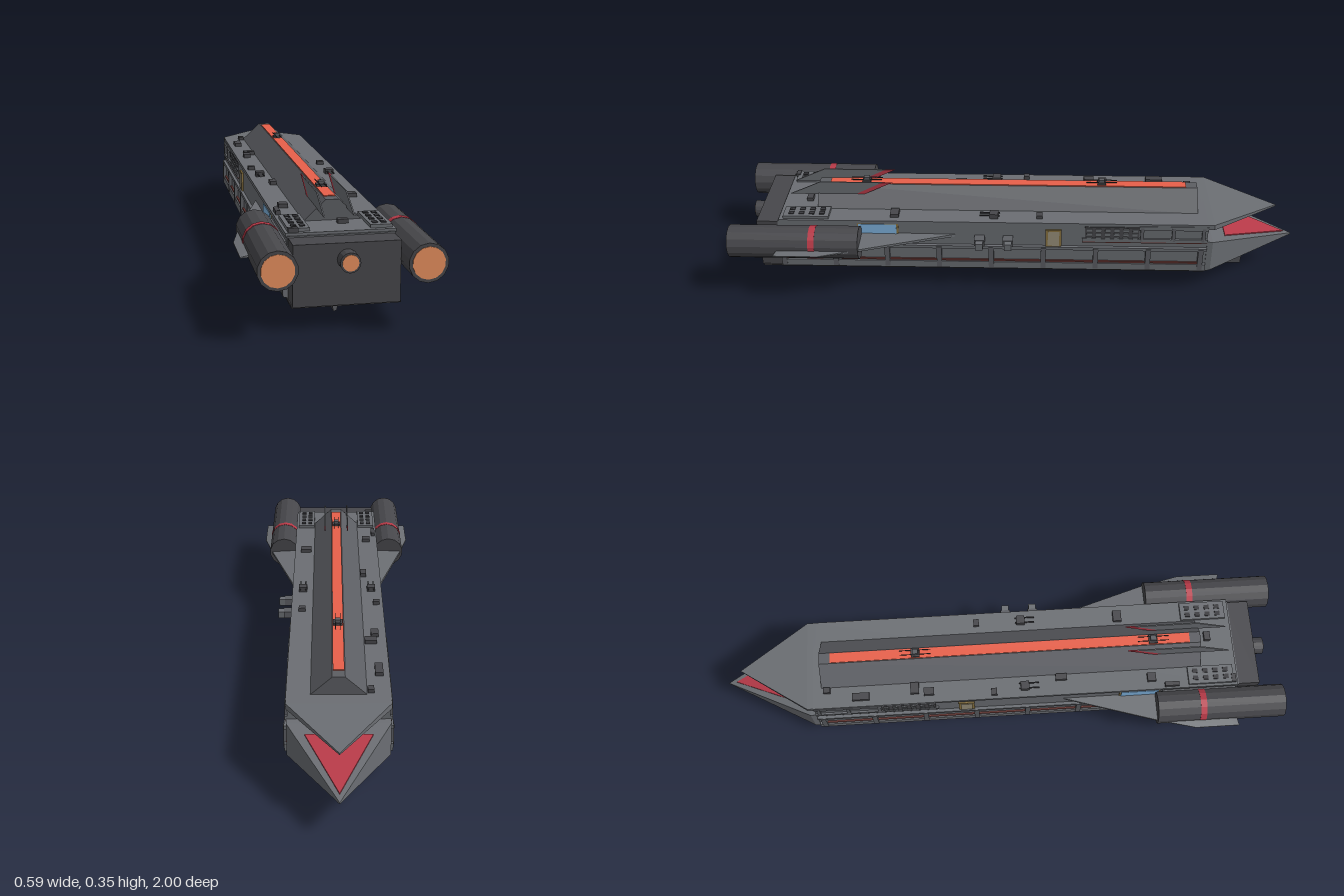
import * as THREE from 'three';
import { ConvexGeometry } from 'three/addons/geometries/ConvexGeometry.js';

const mat = (color) => new THREE.MeshStandardMaterial({ color, flatShading: true });
const HULL = mat(0x6b6e73), MID = mat(0x5c5e63), DARK = mat(0x47474b), BLACK = mat(0x38383c);
const RED = mat(0xb83a48), RUST = mat(0x6e3a36), STRIP = mat(0xe8604a), GLOW = mat(0xe8905f);
const GLASS = mat(0x7fb4e0), BEIGE = mat(0x9a927c), BRASS = mat(0x8a7340);

export function createModel() {
  const ship = new THREE.Group();
  ship.name = 'spaceship';

  const add = (name, geometry, material, parent = ship) => {
    const mesh = new THREE.Mesh(geometry, material);
    mesh.name = name;
    parent.add(mesh);
    return mesh;
  };
  // Box given by its lower and upper limits on each axis
  const box = (name, [x0, x1], [y0, y1], [z0, z1], material, parent) => {
    const g = new THREE.BoxGeometry(x1 - x0, y1 - y0, z1 - z0);
    g.translate((x0 + x1) / 2, (y0 + y1) / 2, (z0 + z1) / 2);
    return add(name, g, material, parent);
  };
  const solid = (name, pts, material, parent) =>
    add(name, new ConvexGeometry(pts.map((p) => new THREE.Vector3(...p))), material, parent);
  // Straight prism along z from an x/y outline
  const prism = (name, outline, z0, z1, material, parent) =>
    solid(name, outline.flatMap(([x, y]) => [[x, y, z0], [x, y, z1]]), material, parent);
  const drum = (name, r, x, y, z0, z1, sides, material, parent) => {
    const g = new THREE.CylinderGeometry(r, r, z1 - z0, sides);
    g.rotateX(Math.PI / 2);
    g.translate(x, y, (z0 + z1) / 2);
    return add(name, g, material, parent);
  };

  // Main body
  box('hull', [-0.16, 0.16], [0.074, 0.262], [-0.67, 0.84], HULL);
  box('underside', [-0.16, 0.16], [0.07, 0.076], [-0.67, 0.91], DARK);
  box('sternBlock', [-0.157, 0.157], [0.074, 0.258], [0.83, 0.915], DARK);
  box('topDeck', [-0.164, 0.164], [0.258, 0.27], [-0.67, 0.835], HULL);

  // Raised spine with glowing strip
  prism('spine', [[-0.09, 0.268], [0.09, 0.268], [0.02, 0.333], [-0.02, 0.333]], -0.64, 0.71, MID);
  box('spineStrip', [-0.018, 0.018], [0.33, 0.336], [-0.6, 0.67], STRIP);
  for (const z of [-0.3, 0.54]) {
    box('spineClamp', [-0.016, 0.016], [0.33, 0.343], [z - 0.015, z + 0.015], DARK);
    box('spineSensor', [-0.009, 0.009], [0.34, 0.353], [z - 0.01, z + 0.01], MID);
    for (const x of [-0.008, 0.008])
      box('antenna', [x - 0.001, x + 0.001], [0.343, 0.346], [z - 0.055, z + 0.055], BLACK);
  }

  // Split prow
  solid('upperProw', [[-0.163, 0.27, -0.66], [0.163, 0.27, -0.66], [-0.163, 0.27, -0.69], [0.163, 0.27, -0.69],
    [-0.163, 0.25, -0.66], [0.163, 0.25, -0.66], [-0.163, 0.25, -0.69], [0.163, 0.25, -0.69],
    [0, 0.256, -0.93], [0, 0.25, -0.93]], HULL);
  solid('lowerProw', [[-0.163, 0.2, -0.67], [0.163, 0.2, -0.67], [-0.163, 0.074, -0.67], [0.163, 0.074, -0.67],
    [-0.163, 0.198, -0.69], [0.163, 0.198, -0.69], [-0.163, 0.08, -0.69], [0.163, 0.08, -0.69],
    [0, 0.135, -1], [0, 0.13, -1]], HULL);
  const prowY = (z) => 0.135 + (z + 1) * 0.2035;
  solid('prowInlay', [0, 0.004].flatMap((d) => [[0, prowY(-0.97) + d, -0.97],
    [-0.105, prowY(-0.74) + d, -0.74], [0.105, prowY(-0.74) + d, -0.74]]), RED);

  // Keel
  prism('keel', [[-0.02, 0.074], [0.02, 0.074], [0.005, 0], [-0.005, 0]], -0.83, 0.76, MID);

  // Stern engine
  drum('sternEngine', 0.03, 0, 0.21, 0.9, 0.955, 16, DARK);
  drum('sternEngineGlow', 0.024, 0, 0.21, 0.95, 0.957, 16, GLOW);

  // Parts found on both flanks
  for (const s of [-1, 1]) {
    const side = new THREE.Group();
    side.name = s > 0 ? 'leftSide' : 'rightSide';
    ship.add(side);
    const X = (a, b) => (s > 0 ? [a, b] : [-b, -a]);
    const sbox = (name, a, b, y, z, m) => box(name, X(a, b), y, z, m, side);

    // Lower belt with ribs
    sbox('beltUpperRail', 0.155, 0.171, [0.162, 0.174], [-0.67, 0.84], HULL);
    sbox('beltLowerRail', 0.155, 0.171, [0.08, 0.107], [-0.67, 0.84], HULL);
    sbox('beltStripe', 0.155, 0.166, [0.107, 0.113], [-0.66, 0.83], RUST);
    for (let i = 0; i < 9; i++) {
      const z = 0.83 - i * 0.185;
      sbox('beltRib', 0.155, 0.173, [0.085, 0.17], [z - 0.009, z + 0.009], MID);
    }

    // Forward side gallery
    sbox('galleryRail', 0.155, 0.166, [0.246, 0.262], [-0.67, -0.43], HULL);
    sbox('gallerySill', 0.155, 0.167, [0.197, 0.21], [-0.67, -0.23], HULL);
    sbox('galleryStripe', 0.155, 0.165, [0.192, 0.197], [-0.67, -0.23], RUST);
    for (const z of [-0.44, -0.55, -0.655])
      sbox('galleryPost', 0.155, 0.167, [0.2, 0.255], [z - 0.006, z + 0.006], MID);
    sbox('grille', 0.155, 0.164, [0.2, 0.256], [-0.43, -0.24], DARK);
    for (let i = 0; i < 6; i++) for (let j = 0; j < 3; j++) {
      const z = -0.415 + i * 0.032, y = 0.211 + j * 0.017;
      sbox('grilleCell', 0.16, 0.168, [y - 0.005, y + 0.005], [z - 0.009, z + 0.009], HULL);
    }

    // Hatch and side window
    sbox('hatchFrame', 0.155, 0.166, [0.172, 0.242], [-0.158, -0.102], BRASS);
    sbox('hatch', 0.155, 0.168, [0.178, 0.236], [-0.15, -0.11], BEIGE);
    sbox('windowFrame', 0.155, 0.163, [0.166, 0.262], [0.415, 0.56], BRASS);
    sbox('window', 0.155, 0.165, [0.172, 0.256], [0.422, 0.555], GLASS);
    sbox('windowBar', 0.155, 0.167, [0.211, 0.217], [0.42, 0.56], DARK);

    // Delta wing
    solid('wing', [[s * 0.155, 0.216, 0.2], [s * 0.155, 0.206, 0.2], [s * 0.155, 0.222, 0.8], [s * 0.155, 0.2, 0.8],
      [s * 0.26, 0.214, 0.54], [s * 0.26, 0.206, 0.54], [s * 0.295, 0.206, 0.68], [s * 0.295, 0.203, 0.68],
      [s * 0.295, 0.206, 0.835], [s * 0.295, 0.203, 0.835], [s * 0.26, 0.213, 0.78]], HULL, side);

    // Engine nacelle
    const nx = s * 0.213;
    drum('nacelle', 0.058, nx, 0.212, 0.545, 0.998, 14, DARK, side);
    drum('nacelleBand', 0.0592, nx, 0.212, 0.695, 0.717, 14, RED, side);
    drum('nacelleGlow', 0.048, nx, 0.212, 0.98, 1, 14, GLOW, side);
    sbox('nacellePylon', 0.15, 0.18, [0.18, 0.245], [0.57, 0.83], MID);

    // Slanted tail fin with red leading edge
    const fx = [s * 0.043, s * 0.047];
    solid('tailFin', fx.flatMap((x) => [[x, 0.305, 0.81], [x, 0.355, 0.7], [x, 0.355, 0.48], [x, 0.305, 0.58]]), HULL, side);
    solid('tailFinEdge', fx.flatMap((x) => [[x, 0.305, 0.58], [x, 0.355, 0.48], [x, 0.355, 0.445], [x, 0.305, 0.55]]), RED, side);

    // Vent panel on the aft deck
    sbox('ventPanel', 0.09, 0.155, [0.265, 0.28], [0.66, 0.82], HULL);
    for (let i = 0; i < 4; i++) for (let j = 0; j < 2; j++) {
      const x = 0.108 + j * 0.026, z = 0.685 + i * 0.036;
      sbox('vent', x - 0.008, x + 0.008, [0.275, 0.283], [z - 0.009, z + 0.009], BLACK);
    }

    // Belly pods
    for (const z of [0.21, 0.45, 0.685]) {
      prism('bellyPod', [[s * 0.05, 0.073], [s * 0.11, 0.073], [s * 0.1, 0.06], [s * 0.06, 0.06]], z - 0.08, z + 0.08, DARK, side);
      sbox('bellyPodCore', 0.067, 0.093, [0.054, 0.062], [z - 0.05, z + 0.05], MID);
      for (const x of [0.053, 0.101])
        sbox('bellyPodTrim', x, x + 0.006, [0.064, 0.071], [z - 0.07, z + 0.07], BRASS);
    }
    sbox('deckFitting', 0.11, 0.14, [0.268, 0.287], [0.065, 0.095], DARK);
    for (const x of [0.116, 0.134])
      sbox('deckRod', x - 0.002, x + 0.002, [0.278, 0.282], [0.06, 0.13], BLACK);
  }

  // Docking blocks on the left flank
  for (const z of [0.03, 0.13]) {
    box('dockingArm', [0.155, 0.195], [0.19, 0.214], [z - 0.018, z + 0.018], MID);
    box('dockingHead', [0.19, 0.215], [0.186, 0.212], [z - 0.013, z + 0.013], HULL);
  }

  // Scattered deck fittings: x, z, width, length
  const fittings = [[-0.1, -0.62, 0.02, 0.025], [-0.13, -0.5, 0.026, 0.06], [-0.11, -0.31, 0.04, 0.03],
    [-0.125, -0.26, 0.026, 0.036], [0.125, -0.08, 0.024, 0.02], [-0.1, 0.21, 0.022, 0.04],
    [0.12, 0.43, 0.04, 0.03], [-0.12, 0.53, 0.03, 0.03], [-0.15, 0.6, 0.015, 0.05],
    [0.023, 0.745, 0.032, 0.022], [-0.14, -0.03, 0.024, 0.02], [-0.14, 0.82, 0.03, 0.015]];
  for (const [x, z, w, l] of fittings)
    box('deckBox', [x - w / 2, x + w / 2], [0.265, 0.283], [z - l / 2, z + l / 2], DARK);

  return ship;
}
